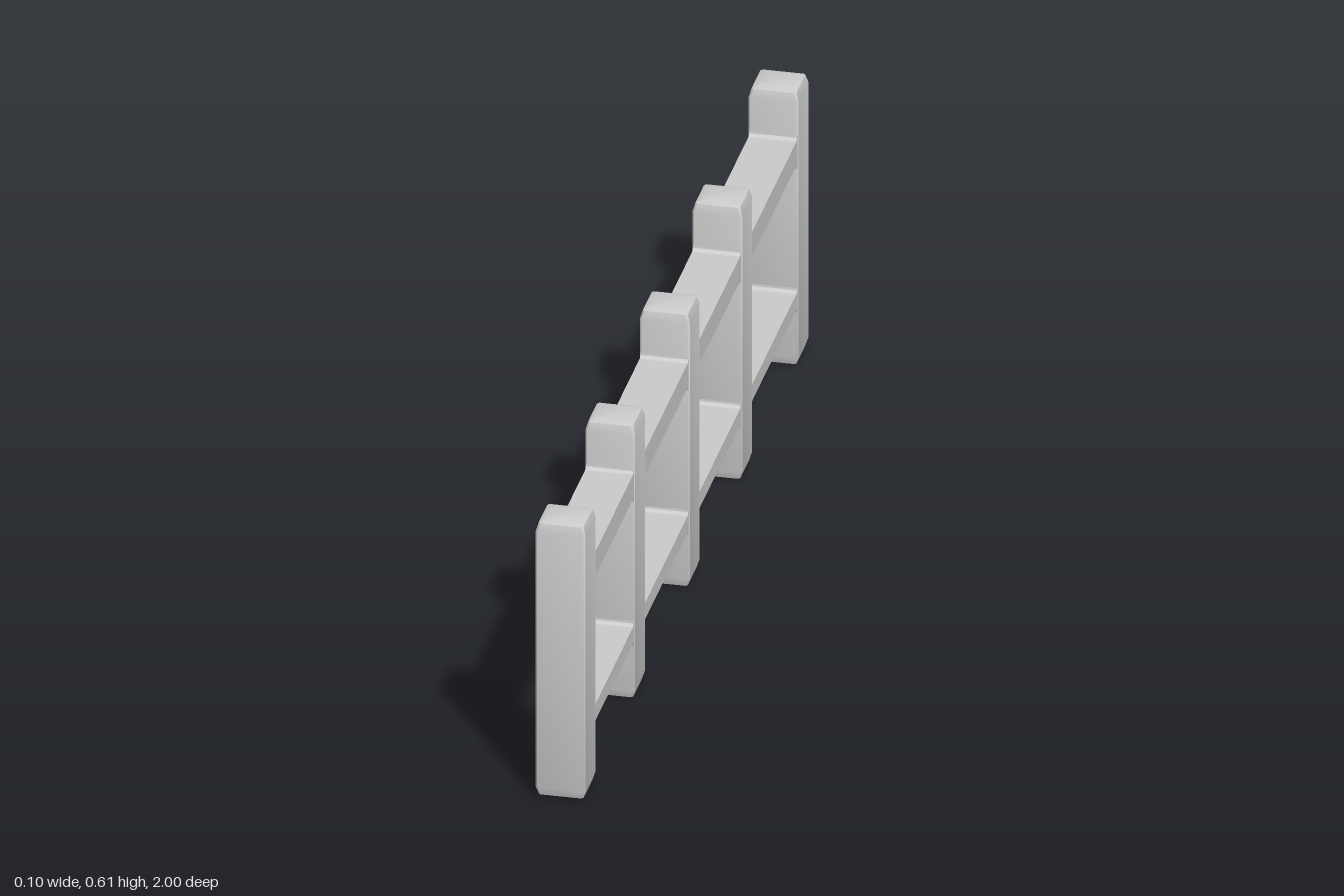
import * as THREE from 'three';
import { toCreasedNormals } from 'three/addons/utils/BufferGeometryUtils.js';

const HEIGHT = 0.605, HALF_X = 0.05, HALF_Z = 0.048;
const POST_Z = [-0.952, -0.449, 0.02, 0.508, 0.952];

// Square post with slim chamfered edges and softened ends, from stacked rings
function postGeometry() {
  const rings = [[0, 0.017], [0.005, 0.005], [0.022, 0],
    [HEIGHT - 0.022, 0], [HEIGHT - 0.005, 0.005], [HEIGHT, 0.017]]; // [y, inset]
  const c = 0.004, n = 8, pos = [], index = [];
  for (const [y, inset] of rings) {
    const x = HALF_X - inset, z = HALF_Z - inset;
    for (const [px, pz] of [[x, -z + c], [x, z - c], [x - c, z], [-x + c, z],
      [-x, z - c], [-x, -z + c], [-x + c, -z], [x - c, -z]]) pos.push(px, y, pz);
  }
  for (let r = 0; r < rings.length - 1; r++) {
    for (let i = 0; i < n; i++) {
      const a = r * n + i, b = r * n + (i + 1) % n;
      index.push(a, a + n, b + n, a, b + n, b);
    }
  }
  const top = (rings.length - 1) * n;
  for (let i = 1; i < n - 1; i++) {
    index.push(0, i, i + 1, top, top + i + 1, top + i);
  }
  const g = new THREE.BufferGeometry();
  g.setAttribute('position', new THREE.Float32BufferAttribute(pos, 3));
  g.setIndex(index);
  return toCreasedNormals(g, 0.7);
}

// Rail for one bay, with small fillets where it meets the posts
function railGeometry(z0, z1, y0, y1) {
  const f = 0.01, e = 0.01, depth = 0.096; // fillet, overlap into post, thickness
  const s = new THREE.Shape();
  s.moveTo(z0 - e, y0 - f);
  s.lineTo(z0, y0 - f);
  s.quadraticCurveTo(z0, y0, z0 + f, y0);
  s.lineTo(z1 - f, y0);
  s.quadraticCurveTo(z1, y0, z1, y0 - f);
  s.lineTo(z1 + e, y0 - f);
  s.lineTo(z1 + e, y1 + f);
  s.lineTo(z1, y1 + f);
  s.quadraticCurveTo(z1, y1, z1 - f, y1);
  s.lineTo(z0 + f, y1);
  s.quadraticCurveTo(z0, y1, z0, y1 + f);
  s.lineTo(z0 - e, y1 + f);
  s.closePath();
  const g = new THREE.ExtrudeGeometry(s, { depth, bevelEnabled: false, curveSegments: 4 });
  g.translate(0, 0, -depth / 2);
  g.rotateY(-Math.PI / 2);
  return g;
}

export function createModel() {
  const fence = new THREE.Group();
  fence.name = 'fence';
  const material = new THREE.MeshStandardMaterial({ color: 0xcccccc });
  const add = (geometry, name) => {
    const mesh = new THREE.Mesh(geometry, material);
    mesh.name = name;
    fence.add(mesh);
    return mesh;
  };

  // Upright posts
  const post = postGeometry();
  POST_Z.forEach((z, i) => { add(post, `post${i + 1}`).position.z = z; });

  // Thicker upper rail and thinner lower rail in every bay
  for (let i = 0; i < POST_Z.length - 1; i++) {
    const z0 = POST_Z[i] + HALF_Z, z1 = POST_Z[i + 1] - HALF_Z;
    add(railGeometry(z0, z1, 0.447, 0.5), `upperRail${i + 1}`);
    add(railGeometry(z0, z1, 0.129, 0.165), `lowerRail${i + 1}`);
  }
  return fence;
}
